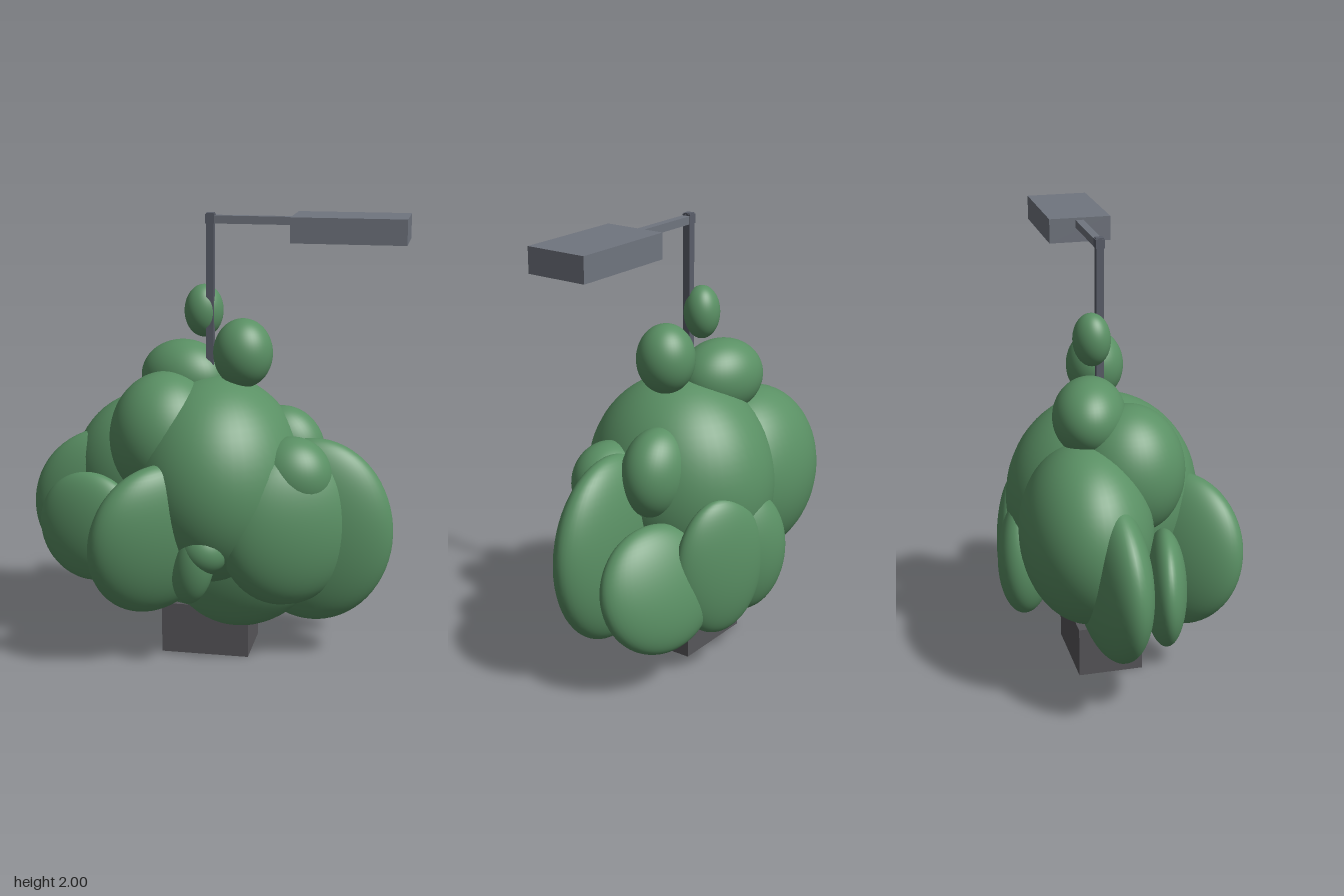
import * as THREE from 'three';

const material = (name, color) => {
  const m = new THREE.MeshStandardMaterial({ color });
  m.name = name;
  return m;
};

export function createModel() {
  const model = new THREE.Group();
  model.name = 'bushWithLamp';
  const leaf = material('leafGreen', 0x5a9064);
  const pot = material('potGrey', 0x57565a);
  const steel = material('poleGrey', 0x5a5e69);
  const panel = material('panelGrey', 0x70757f);

  const box = (name, mat, size, pos) => {
    const mesh = new THREE.Mesh(new THREE.BoxGeometry(...size), mat);
    mesh.name = name;
    mesh.position.set(...pos);
    model.add(mesh);
  };

  // Base block and lamp
  box('base', pot, [0.4, 0.235, 0.298], [-0.01, 0.1175, -0.035]);
  box('pole', steel, [0.034, 1.8, 0.034], [-0.012, 1.1, -0.038]);
  box('poleJoint', steel, [0.04, 0.04, 0.04], [-0.013, 1.975, -0.038]);
  box('arm', panel, [0.38, 0.035, 0.035], [0.185, 1.972, -0.038]);
  box('lampHead', panel, [0.495, 0.11, 0.28], [0.605, 1.945, -0.036]);

  // Small patch on the underside of the lamp head
  const patch = new THREE.Mesh(new THREE.CylinderGeometry(0.05, 0.05, 0.002, 20), leaf);
  patch.name = 'lampPatch';
  patch.position.set(0.77, 1.8895, 0.0);
  model.add(patch);

  // Foliage clumps: name, centre, radii, rotation
  const clumps = [
    ['crown', [0.02, 0.8, -0.022], [0.4, 0.478, 0.437]],
    ['upperRightClump', [-0.2, 1.0, 0.04], [0.255, 0.3, 0.255]],
    ['topClump', [-0.148, 1.25, -0.118], [0.206, 0.17, 0.16], [0, -0.3, 0]],
    ['middleTopBall', [0.137, 1.385, -0.025], [0.133, 0.155, 0.128]],
    ['highestBall', [-0.05, 1.562, -0.082], [0.088, 0.118, 0.08], [0, 0.5, 0]],
    ['rightOuterClump', [-0.48, 0.63, -0.1], [0.378, 0.37, 0.14], [0, 0.08, 0]],
    ['rightFrontDisk', [-0.54, 0.585, 0.12], [0.248, 0.255, 0.092], [0, -0.18, 0]],
    ['frontLeaf', [-0.2, 0.595, 0.275], [0.33, 0.355, 0.135], [0.22, 0.72, 0]],
    ['frontBud', [-0.025, 0.48, 0.305], [0.09, 0.172, 0.085], [0.1, 0, -0.2]],
    ['frontBudSide', [0.02, 0.56, 0.285], [0.11, 0.11, 0.11]],
    ['leftFrontClump', [0.375, 0.635, 0.14], [0.325, 0.352, 0.155], [0, 0.5, 0]],
    ['leftFrontUpper', [0.38, 0.865, 0.105], [0.18, 0.178, 0.155]],
    ['leftOuterClump', [0.47, 0.6, 0.026], [0.357, 0.424, 0.135]],
    ['leftBackClump', [0.485, 0.48, -0.24], [0.29, 0.28, 0.11], [0.28, -0.28, 0]],
    ['backDiskLeft', [0.23, 0.53, -0.38], [0.225, 0.315, 0.088], [0, -0.35, 0]],
    ['backDisk', [0.03, 0.53, -0.375], [0.2, 0.285, 0.12], [0, -0.5, 0]],
    ['rightBackClump', [-0.3, 0.765, -0.17], [0.385, 0.4, 0.29]],
    ['leftUpperClump', [0.32, 0.935, -0.11], [0.18, 0.2, 0.14], [0, 0, 0.3]],
    ['lowerClump', [0.05, 0.475, 0.035], [0.46, 0.35, 0.15], [-0.04, -0.28, 0.05]],
  ];
  const sphere = new THREE.SphereGeometry(1, 48, 32);
  for (const [name, centre, radii, turn = [0, 0, 0]] of clumps) {
    const mesh = new THREE.Mesh(sphere, leaf);
    mesh.name = name;
    mesh.position.set(...centre);
    mesh.scale.set(...radii);
    mesh.rotation.set(...turn);
    model.add(mesh);
  }
  return model;
}
